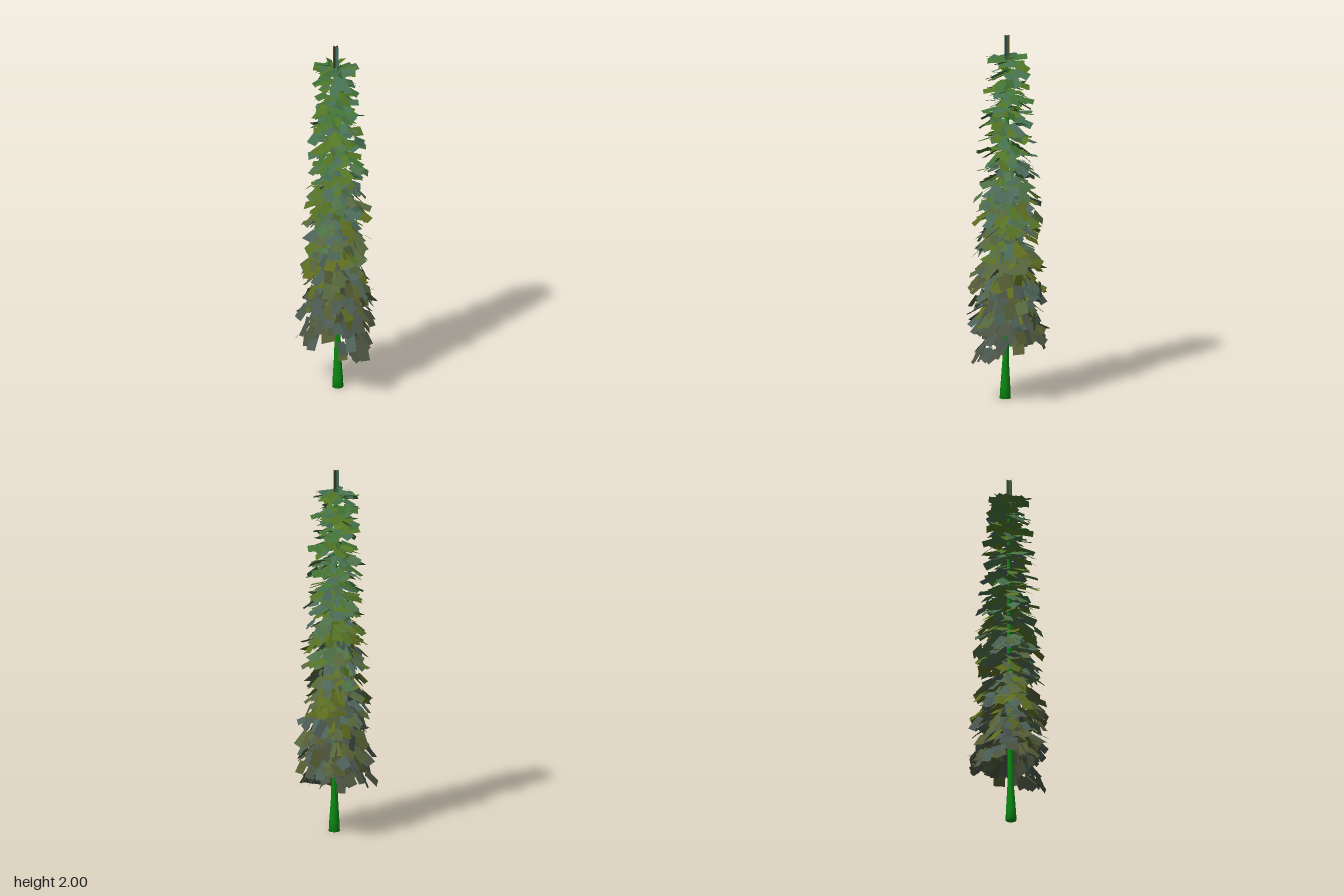
import * as THREE from 'three';
import { mergeGeometries } from 'three/addons/utils/BufferGeometryUtils.js';

// small seeded random generator
function seeded(seed) {
  return () => {
    seed = (seed * 1664525 + 1013904223) % 4294967296;
    return seed / 4294967296;
  };
}

// linear interpolation through [height, value] pairs
function sample(table, y) {
  for (let i = 1; i < table.length; i++) {
    const [y0, v0] = table[i - 1], [y1, v1] = table[i];
    if (y <= y1) return THREE.MathUtils.mapLinear(Math.max(y, y0), y0, y1, v0, v1);
  }
  return table[table.length - 1][1];
}

// outer reach of the crown, droop angle, leaves per branch and leaf size by height
const REACH = [[0.36, 0.208], [0.6, 0.2], [0.8, 0.175], [1.05, 0.17], [1.3, 0.152], [1.6, 0.13], [1.87, 0.112]];
const DROOP = [[0.36, 0.95], [0.6, 0.85], [1.0, 0.6], [1.4, 0.35], [1.87, 0.12]];
const LEAVES = [[0.36, 7], [0.75, 6], [1.2, 4.4], [1.5, 3.2], [1.87, 2.3]];
const WIDTH = [[0.36, 0.055], [1.0, 0.053], [1.87, 0.045]];

// three tones for each height band, from grey-green below to fresh green above
const TONES = [
  [0x4b5240, 0x545b32, 0x4a5850],
  [0x55653c, 0x4c6158, 0x5d6b1e],
  [0x4d7046, 0x547024, 0x4a685a],
  [0x427234, 0x527624, 0x447050],
];

export function createModel() {
  const tree = new THREE.Group();
  tree.name = 'conifer';
  const rand = seeded(2024);
  const spread = (a) => (rand() * 2 - 1) * a;

  // slim trunk with a flared foot, set a little forward at the ground
  const profile = [[0, 0], [0.03, 0], [0.027, 0.06], [0.018, 0.2], [0.015, 0.5], [0.011, 1], [0.008, 1.6], [0.004, 1.9]];
  const trunkGeometry = new THREE.LatheGeometry(profile.map(([r, y]) => new THREE.Vector2(r, y)), 8);
  const p = trunkGeometry.attributes.position;
  for (let i = 0; i < p.count; i++) {
    const lean = Math.max(0, 1 - p.getY(i) / 1.2);
    p.setX(i, p.getX(i) - 0.003 * lean);
    p.setZ(i, p.getZ(i) + 0.014 * lean);
  }
  trunkGeometry.computeVertexNormals();
  const trunk = new THREE.Mesh(trunkGeometry, new THREE.MeshStandardMaterial({ color: 0x0a8a12 }));
  trunk.name = 'trunk';
  tree.add(trunk);

  // leaf cards, collected by band and tone; tip is the outer end of the card
  const buckets = TONES.map((band) => band.map(() => []));
  const addLeaf = (y, yaw, tip, length, width, droop) => {
    const leaf = new THREE.PlaneGeometry(length, width);
    leaf.rotateX(-Math.PI / 2 + spread(0.65));
    leaf.rotateY(spread(0.4));
    leaf.rotateZ(-droop);
    leaf.translate(Math.max(tip - Math.cos(droop) * length / 2, length * 0.45), y, 0);
    leaf.rotateY(yaw);
    const band = Math.min(3, Math.max(0, Math.floor((y + spread(0.25) - 0.1) / 0.43)));
    buckets[band][Math.floor(rand() * 3)].push(leaf);
  };

  // whorls of uneven branches, each carrying leaves from the stem to its tip
  const whorls = 22, branches = 10;
  for (let i = 0; i < whorls; i++) {
    const y = 0.38 + (1.86 - 0.38) * i / (whorls - 1);
    const start = rand() * Math.PI * 2;
    for (let b = 0; b < branches; b++) {
      const branchYaw = start + (b + spread(0.35)) / branches * Math.PI * 2;
      const branchY = y + spread(0.02);
      const reach = sample(REACH, y) * (1 + spread(0.15));
      const droop = sample(DROOP, y) + spread(0.15);
      const count = Math.floor(sample(LEAVES, y) + rand());
      for (let k = 0; k < count; k++) {
        const t = 1 - 0.62 * k / count;
        const fall = (t - 0.6) * reach * Math.tan(droop) * 0.55;
        addLeaf(branchY - fall + spread(0.016), branchYaw + spread(0.3), reach * t,
          0.083 + spread(0.018), sample(WIDTH, y) + spread(0.012), droop + spread(0.3));
      }
    }
  }

  // top whorl: long flat leaves radiating from the stem
  for (let k = 0; k < 9; k++) {
    addLeaf(1.87 + spread(0.015), k * 0.7 + spread(0.2), 0.11, 0.095, 0.038, spread(0.15));
  }

  // a few low leaves hanging below the front of the skirt
  for (let k = 0; k < 9; k++) {
    addLeaf(0.255 + spread(0.025), -1.6 + spread(0.6), 0.17 + spread(0.04), 0.08, 0.05, 0.85 + spread(0.2));
  }

  buckets.forEach((band, b) => band.forEach((leaves, t) => {
    const material = new THREE.MeshStandardMaterial({ color: TONES[b][t], side: THREE.DoubleSide });
    const mesh = new THREE.Mesh(mergeGeometries(leaves), material);
    mesh.name = `foliageBand${b + 1}Tone${t + 1}`;
    tree.add(mesh);
  }));

  // upright crossed blades forming the leading shoot
  [0x4a5526, 0x3f6a5c].forEach((color, i) => {
    const blade = new THREE.Mesh(new THREE.PlaneGeometry(0.038, 0.15),
      new THREE.MeshStandardMaterial({ color, side: THREE.DoubleSide }));
    blade.position.set(-0.005, 1.925, 0);
    blade.rotation.y = 0.1 + i * Math.PI / 2;
    blade.name = `leadingShootBlade${i + 1}`;
    tree.add(blade);
  });

  return tree;
}
